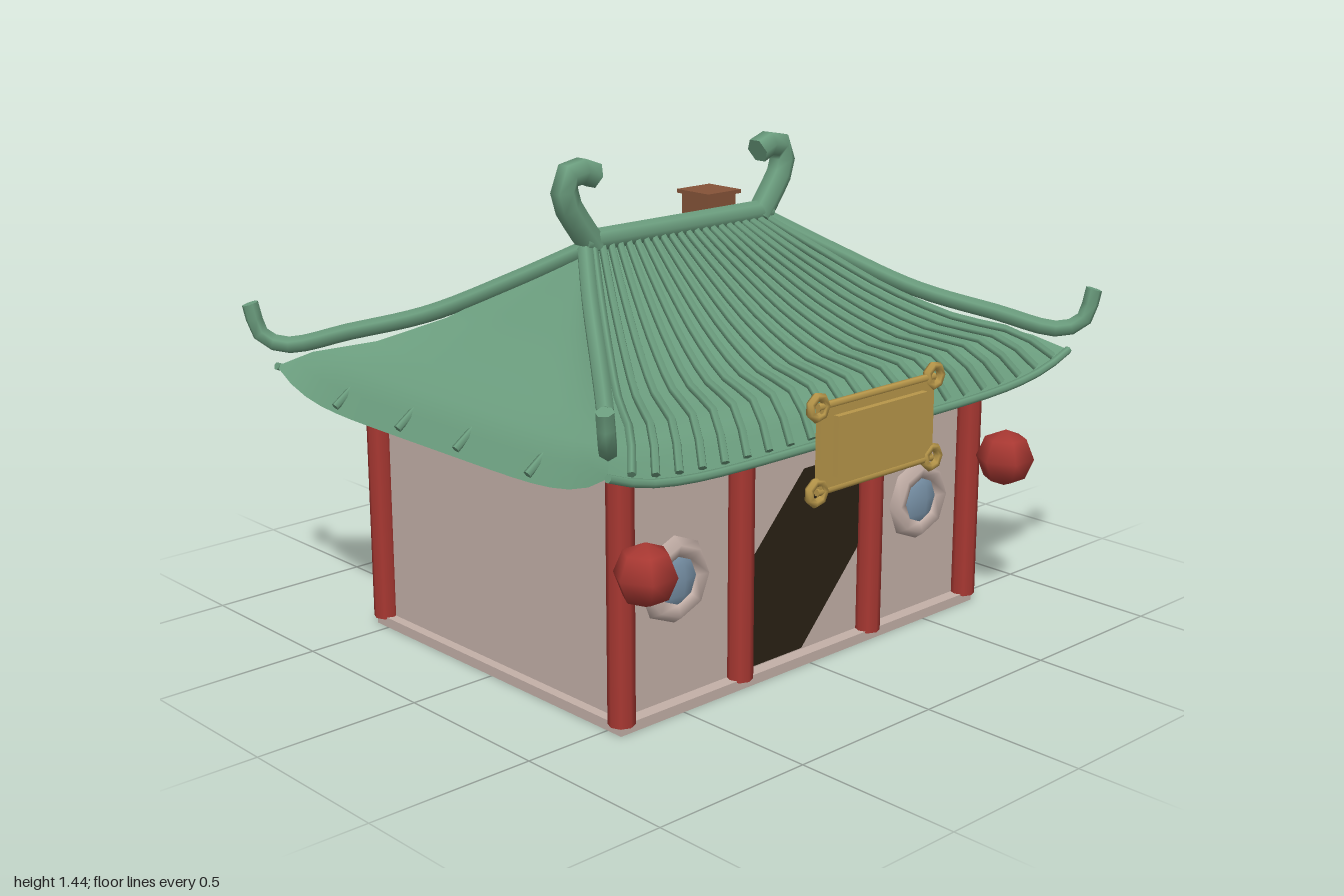
import * as THREE from 'three';
import { ParametricGeometry } from 'three/addons/geometries/ParametricGeometry.js';

const mat = (name, color, side = THREE.FrontSide) => {
  const m = new THREE.MeshStandardMaterial({ color, side });
  m.name = name;
  return m;
};
const V = (x, y, z) => new THREE.Vector3(x, y, z);

// Roof rings from ridge to eave, then in to the wall top:
// half x, half z, y mid front/back, y mid sides, y corner
const RINGS = [
  [0.36, 0.0, 1.18, 1.18, 1.18],
  [0.485, 0.16, 1.06, 1.06, 1.075],
  [0.61, 0.325, 0.95, 0.95, 0.97],
  [0.735, 0.49, 0.873, 0.873, 0.893],
  [0.85, 0.655, 0.838, 0.838, 0.85],
  [0.925, 0.735, 0.735, 0.72, 0.805],
  [0.69, 0.5, 0.73, 0.725, 0.728],
];

// Point on one roof side (0 front, 1 left, 2 back, 3 right); t is the ring, u runs -1..1 along it
function roofPoint(side, t, u, lift = 0) {
  const i = Math.min(Math.floor(t), RINGS.length - 2);
  const [a, b, front, flank, corner] = RINGS[i].map((v, k) => THREE.MathUtils.lerp(v, RINGS[i + 1][k], t - i));
  const mid = side % 2 === 0 ? front : flank;
  const y = mid + (corner - mid) * Math.pow(Math.abs(u), 6) + lift;
  const s = side < 2 ? 1 : -1;
  return side % 2 === 0 ? V(s * a * u, y, s * b) : V(s * a, y, -s * b * u);
}

export function createModel() {
  const group = new THREE.Group();
  const green = mat('roofGreen', 0x6b9d7e, THREE.DoubleSide);
  const plaster = mat('plaster', 0xc4b0a8);
  const red = mat('red', 0xa83832);
  const gold = mat('gold', 0xb8974a);
  const glass = mat('glass', 0x7b95ab);
  const dark = mat('doorwayDark', 0x2a2114);
  const brown = mat('brick', 0x855338);

  const add = (name, geo, material, x = 0, y = 0, z = 0) => {
    const m = new THREE.Mesh(geo, material);
    m.name = name;
    m.position.set(x, y, z);
    group.add(m);
    return m;
  };
  const box = (name, w, h, d, material, x, y, z) =>
    add(name, new THREE.BoxGeometry(w, h, d), material, x, y, z);
  // Tube with closed ends
  const tube = (name, pts, r, material, seg = 16, sides = 6) => {
    const curve = new THREE.CatmullRomCurve3(pts, false, 'centripetal');
    add(name, new THREE.TubeGeometry(curve, seg, r, sides), material);
    for (const [p, q] of [[pts[0], pts[1]], [pts.at(-1), pts.at(-2)]]) {
      const cap = add(name + 'Cap', new THREE.CircleGeometry(r, sides), material);
      cap.position.copy(p);
      cap.lookAt(p.clone().multiplyScalar(2).sub(q));
    }
  };

  // Plinth and walls
  box('plinth', 1.46, 0.03, 1.11, plaster, 0, 0.015, 0);
  box('walls', 1.4, 0.69, 1.03, plaster, 0, 0.37, 0);

  // Pillars
  const pillar = new THREE.CylinderGeometry(0.038, 0.038, 0.7, 8);
  for (const sx of [-1, 1]) {
    for (const sz of [-1, 1]) add('cornerPillar', pillar, red, sx * 0.71, 0.375, sz * 0.535);
    add('doorPillar', pillar, red, sx * 0.267, 0.375, 0.535);
  }

  // Doorway with two cut corners
  const door = new THREE.Shape([
    [-0.235, 0.035], [0, 0.035], [0.235, 0.29], [0.235, 0.58], [0, 0.58], [-0.235, 0.33],
  ].map(([x, y]) => new THREE.Vector2(x, y)));
  add('doorway', new THREE.ShapeGeometry(door), dark, 0, 0, 0.519);

  // Round windows: two in front, one on the left wall
  for (const [x, z, turn] of [[-0.5, 0.515, 0], [0.5, 0.515, 0], [0.7, -0.12, Math.PI / 2]]) {
    const frame = add('windowFrame', new THREE.TorusGeometry(0.094, 0.031, 5, 8), plaster, x, 0.375, z);
    frame.rotation.y = turn;
    const pane = add('windowPane', new THREE.SphereGeometry(0.088, 7, 6), glass, x, 0.375, z);
    pane.scale.set(turn ? 0.3 : 1, 1, turn ? 1 : 0.3);
  }

  // Faceted lanterns in front of the corner pillars
  for (const sx of [-1, 1]) {
    add('lantern', new THREE.SphereGeometry(0.088, 6, 4), red, sx * 0.735, 0.488, 0.66);
  }

  // Roof slopes and soffits
  for (let side = 0; side < 4; side++) {
    const surface = (t0, t1, stacks) => {
      const g = new ParametricGeometry(
        (u, v, p) => p.copy(roofPoint(side, t0 + (t1 - t0) * v, 1 - 2 * u)), 20, stacks);
      g.computeVertexNormals();
      return g;
    };
    add('roofSlope', surface(0, 5, 10), green);
    add('roofSoffit', surface(5, 6, 1), green);
  }

  // Tile ribs: full length and raised in front, mostly sunk into the slope at the back
  const COUNT = 22;
  for (let i = 0; i < COUNT; i++) {
    const u = ((i + 0.5) / COUNT * 2 - 1) * 0.96;
    tube('frontRib', [0, 1, 2, 3, 4, 5].map(t => roofPoint(0, t, u, 0.022)), 0.012, green, 12, 5);
    const end = 0.9 + 0.7 * ((i * 7) % 5) / 5;
    tube('backRib', [0, 0.5, 1].map(t => roofPoint(2, t * end, u, 0.006 - 0.01 * t)), 0.009, green, 5, 5);
    tube('backRibEnd', [4.8, 5.02].map(t => roofPoint(2, t, u)), 0.009, green, 1, 5);
  }
  // Short rib ends on the two side eaves
  for (const sx of [-1, 1]) {
    for (const z of [-0.43, -0.13, 0.13, 0.43]) {
      tube('sideRibEnd', [V(sx * 0.79, 0.845, z), V(sx * 0.93, 0.745, z)], 0.012, green, 1, 5);
    }
  }
  // Eave rails front and back
  for (const side of [0, 2]) {
    const pts = [];
    for (let u = -1; u <= 1.001; u += 0.1) pts.push(roofPoint(side, 5, u));
    tube('eaveRail', pts, 0.012, green, 24, 6);
  }

  // Hip ridges with upturned tips
  for (const sx of [-1, 1]) for (const sz of [-1, 1]) {
    tube('hipRidge', [
      [0.36, 1.185, 0], [0.49, 1.085, 0.17], [0.635, 0.98, 0.37], [0.78, 0.917, 0.56],
      [0.905, 0.87, 0.715], [0.952, 0.9, 0.765], [0.974, 0.993, 0.782],
    ].map(([x, y, z]) => V(sx * x, y, sz * z)), 0.025, green, 24, 6);
  }

  // Main ridge and its angular, inward-curled horns
  tube('mainRidge', [V(-0.37, 1.205, 0), V(0.37, 1.205, 0)], 0.034, green, 1, 8);
  for (const sx of [-1, 1]) {
    tube('ridgeHorn', [
      [0.33, 1.19], [0.385, 1.26], [0.43, 1.335], [0.425, 1.395], [0.37, 1.408], [0.325, 1.39],
    ].map(([x, y]) => V(sx * x, y, 0)), 0.04, green, 7, 6);
  }

  // Chimney
  box('chimneyShaft', 0.12, 0.32, 0.12, brown, 0.437, 1.055, -0.325);
  box('chimneyCap', 0.144, 0.012, 0.144, brown, 0.437, 1.213, -0.325);

  // Hanging sign with ring corners
  box('signFrame', 0.46, 0.24, 0.018, gold, 0, 0.74, 0.783);
  box('signPanel', 0.36, 0.17, 0.04, gold, 0, 0.745, 0.79);
  for (const y of [0.625, 0.86]) {
    tube('signRail', [V(-0.235, y, 0.785), V(0.235, y, 0.785)], 0.011, gold, 1, 6);
    for (const x of [-0.235, 0.235]) {
      add('signRing', new THREE.TorusGeometry(0.03, 0.013, 6, 7), gold, x, y, 0.785);
    }
  }
  return group;
}
